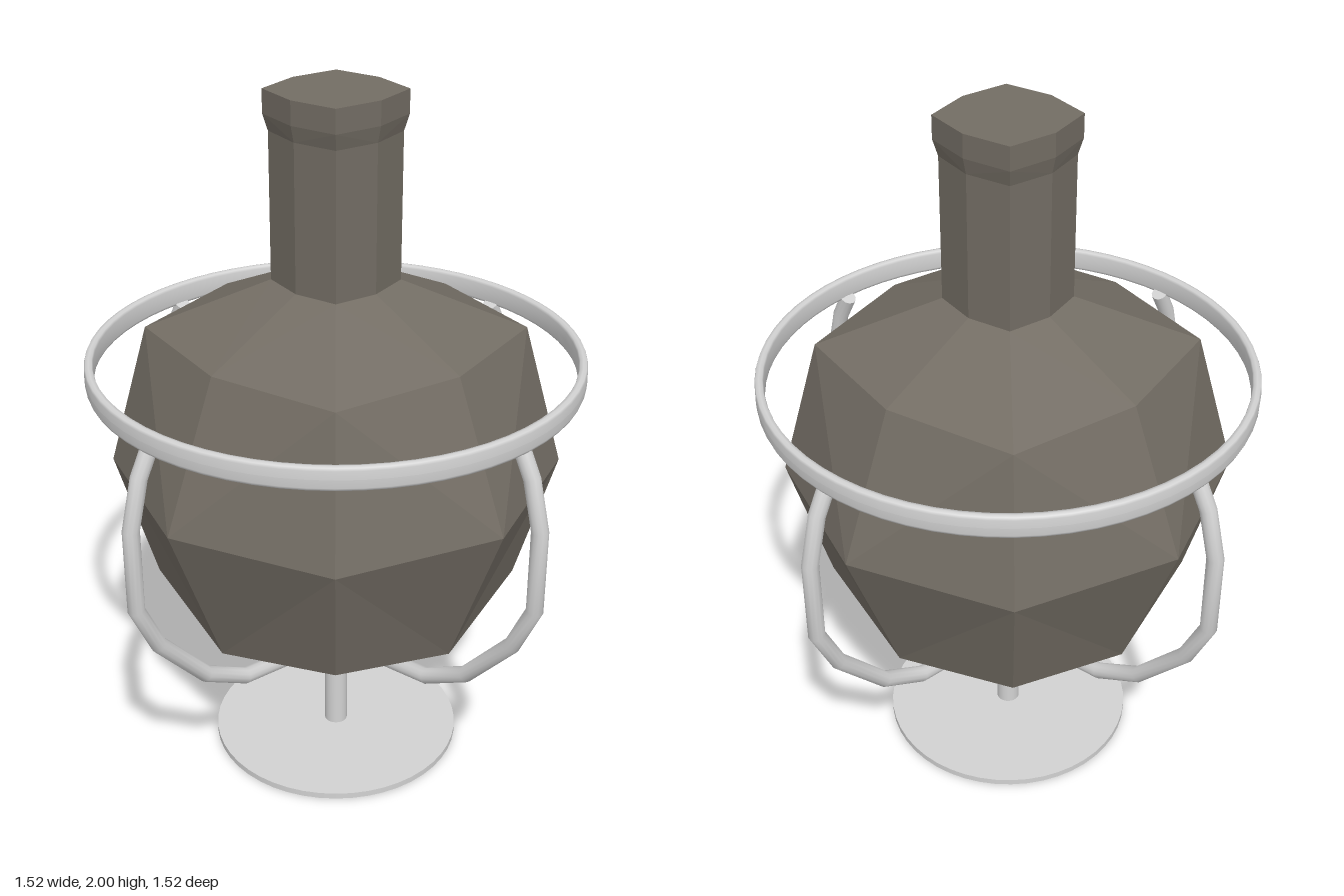
import * as THREE from 'three';

const flaskMat = new THREE.MeshStandardMaterial({ color: 0x736d64, flatShading: true });
flaskMat.name = 'dark flask';
const metalMat = new THREE.MeshStandardMaterial({ color: 0xd2d2d2 });
metalMat.name = 'light metal';

// Eight-sided flask: each ring is [y on axis, axis radius, y on diagonal, diagonal offset]
function flaskGeometry() {
  const rings = [
    [0.38, 0, 0.38, 0],
    [0.48, 0.45, 0.555, 0.37],
    [0.93, 0.62, 0.93, 0.45],
    [1.34, 0.45, 1.34, 0.37],
    [1.48, 0.15, 1.48, 0.124],
    [1.89, 0.15, 1.89, 0.124],
    [1.935, 0.16, 1.935, 0.134],
    [2, 0.16, 2, 0.134],
    [2, 0, 2, 0],
  ];
  const pos = [];
  const index = [];
  for (const [ya, ra, yd, d] of rings) {
    for (let i = 0; i < 8; i++) {
      const a = (i * Math.PI) / 4;
      const diag = i % 2 === 1;
      const r = diag ? d * Math.SQRT2 : ra;
      pos.push(Math.sin(a) * r, diag ? yd : ya, Math.cos(a) * r);
    }
  }
  for (let j = 0; j < rings.length - 1; j++) {
    for (let i = 0; i < 8; i++) {
      const k = (i + 1) % 8;
      const a = j * 8 + i, b = j * 8 + k, c = a + 8, e = b + 8;
      if (j > 0) index.push(a, b, i % 2 ? c : e);
      if (j < rings.length - 2) index.push(...(i % 2 ? [b, e, c] : [a, e, c]));
      if (j === 0) index.push(a, e, c);
    }
  }
  const g = new THREE.BufferGeometry();
  g.setAttribute('position', new THREE.Float32BufferAttribute(pos, 3));
  g.setIndex(index);
  g.computeVertexNormals();
  return g;
}

// Straight-segment path that keeps its corner points when swept
class Polyline extends THREE.Curve {
  constructor(points) {
    super();
    this.points = points;
  }
  getPoint(t, target = new THREE.Vector3()) {
    const n = this.points.length - 1;
    const i = Math.min(Math.floor(t * n + 1e-6), n - 1);
    return target.lerpVectors(this.points[i], this.points[i + 1], t * n - i);
  }
  getPointAt(t, target) {
    return this.getPoint(t, target);
  }
  getTangentAt(t, target = new THREE.Vector3()) {
    const p = this.points, n = p.length - 1, i = Math.round(t * n);
    target.set(0, 0, 0);
    if (i > 0) target.add(p[i].clone().sub(p[i - 1]).normalize());
    if (i < n) target.add(p[i + 1].clone().sub(p[i]).normalize());
    return target.normalize();
  }
}

export function createModel() {
  const model = new THREE.Group();
  model.name = 'flaskOnStand';
  const add = (parent, name, geometry, material, y = 0) => {
    const mesh = new THREE.Mesh(geometry, material);
    mesh.name = name;
    mesh.position.y = y;
    parent.add(mesh);
    return mesh;
  };

  add(model, 'flask', flaskGeometry(), flaskMat);

  // Foot plate and stem
  add(model, 'base', new THREE.CylinderGeometry(0.368, 0.368, 0.018, 48), metalMat, 0.009);
  add(model, 'stem', new THREE.CylinderGeometry(0.034, 0.034, 0.3, 24), metalMat, 0.165);

  // Flattened hoop around the flask
  const profile = [];
  for (let i = 0; i <= 12; i++) {
    const a = (i / 12) * Math.PI * 2;
    const soften = (v) => Math.sign(v) * Math.sqrt(Math.abs(v));
    profile.push(new THREE.Vector2(0.677 + 0.013 * soften(Math.cos(a)), 1.243 + 0.033 * soften(Math.sin(a))));
  }
  add(model, 'hoop', new THREE.LatheGeometry(profile, 64), metalMat);

  // Four bent arms from the stem up to the hoop
  const points = [
    [0, 0.316], [0.368, 0.362], [0.513, 0.443], [0.67, 0.62],
    [0.736, 0.76], [0.736, 1.0], [0.7, 1.14], [0.66, 1.215],
  ].map(([x, y]) => new THREE.Vector3(x, y, 0));
  const path = new Polyline(points);
  const armGeometry = new THREE.TubeGeometry(path, points.length - 1, 0.0235, 12);
  const capGeometry = new THREE.CircleGeometry(0.0235, 12);
  for (let i = 0; i < 4; i++) {
    const arm = new THREE.Group();
    arm.name = 'arm' + (i + 1);
    add(arm, 'armTube', armGeometry, metalMat);
    const tip = points[points.length - 1];
    const cap = new THREE.Mesh(capGeometry, metalMat);
    cap.name = 'armEnd';
    cap.position.copy(tip);
    cap.lookAt(tip.clone().add(path.getTangentAt(1)));
    arm.add(cap);
    arm.rotation.y = (i * Math.PI) / 2;
    model.add(arm);
  }
  return model;
}
